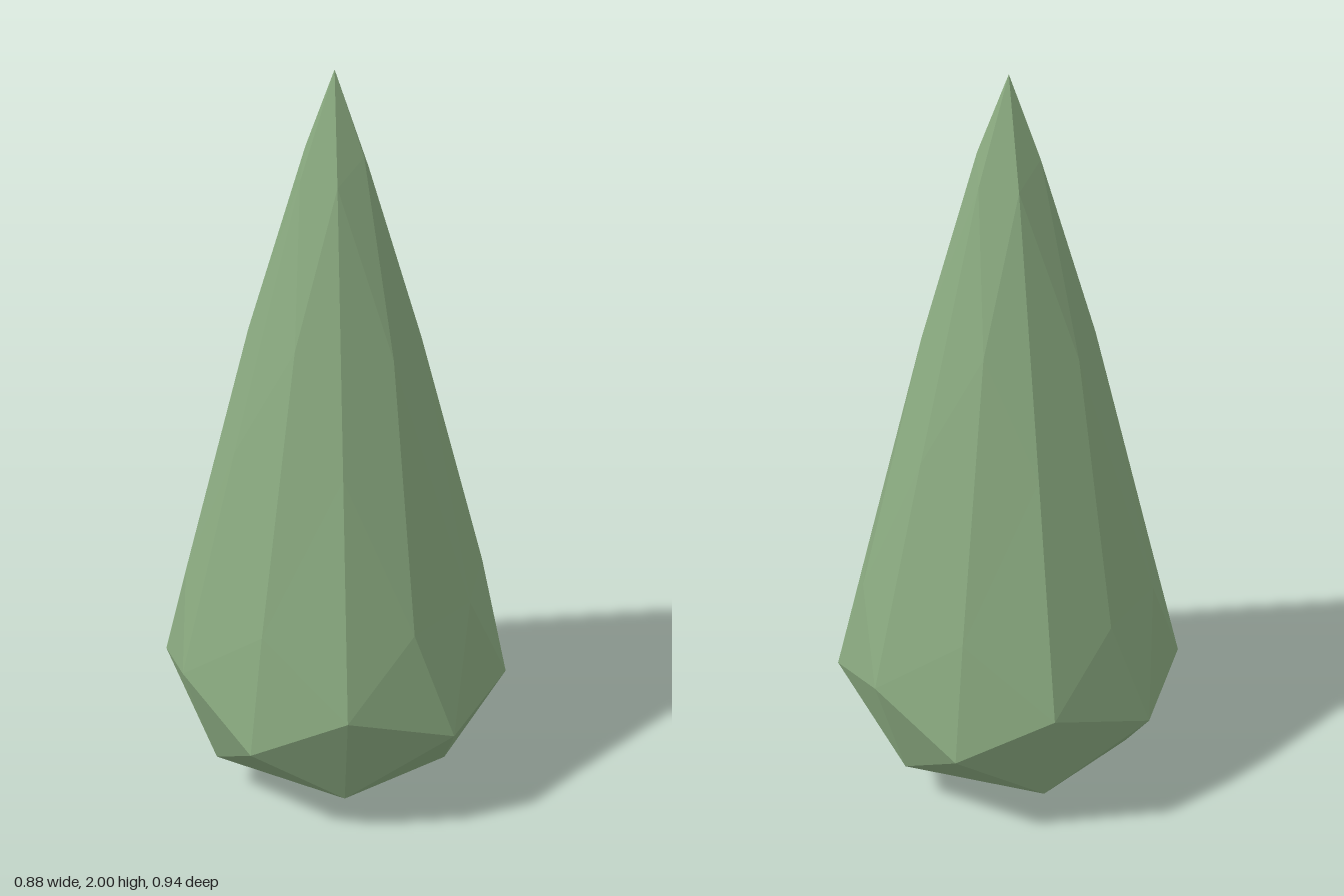
import * as THREE from 'three';

// Low-poly teardrop: a faceted sphere, stretched upwards and tapered to a tip.
function teardropGeometry() {
  const geometry = new THREE.IcosahedronGeometry(1, 1);
  const position = geometry.attributes.position;
  const beltHeight = 0.615;
  for (let i = 0; i < position.count; i++) {
    const h = position.getY(i); // -1 at the bottom, 1 at the tip
    const taper = 0.4 - 0.29 * h; // wide at the bottom, narrow at the tip
    const y = beltHeight + h * (h > 0 ? 2 - beltHeight : beltHeight);
    position.setXYZ(i, position.getX(i) * taper, y, position.getZ(i) * taper);
  }
  geometry.computeVertexNormals(); // unshared corners give flat facets
  return geometry;
}

export function createModel() {
  const model = new THREE.Group();
  model.name = 'teardropTree';

  const material = new THREE.MeshStandardMaterial({ color: 0x8aaa80, flatShading: true });
  const foliage = new THREE.Mesh(teardropGeometry(), material);
  foliage.name = 'foliage';
  model.add(foliage);

  return model;
}
